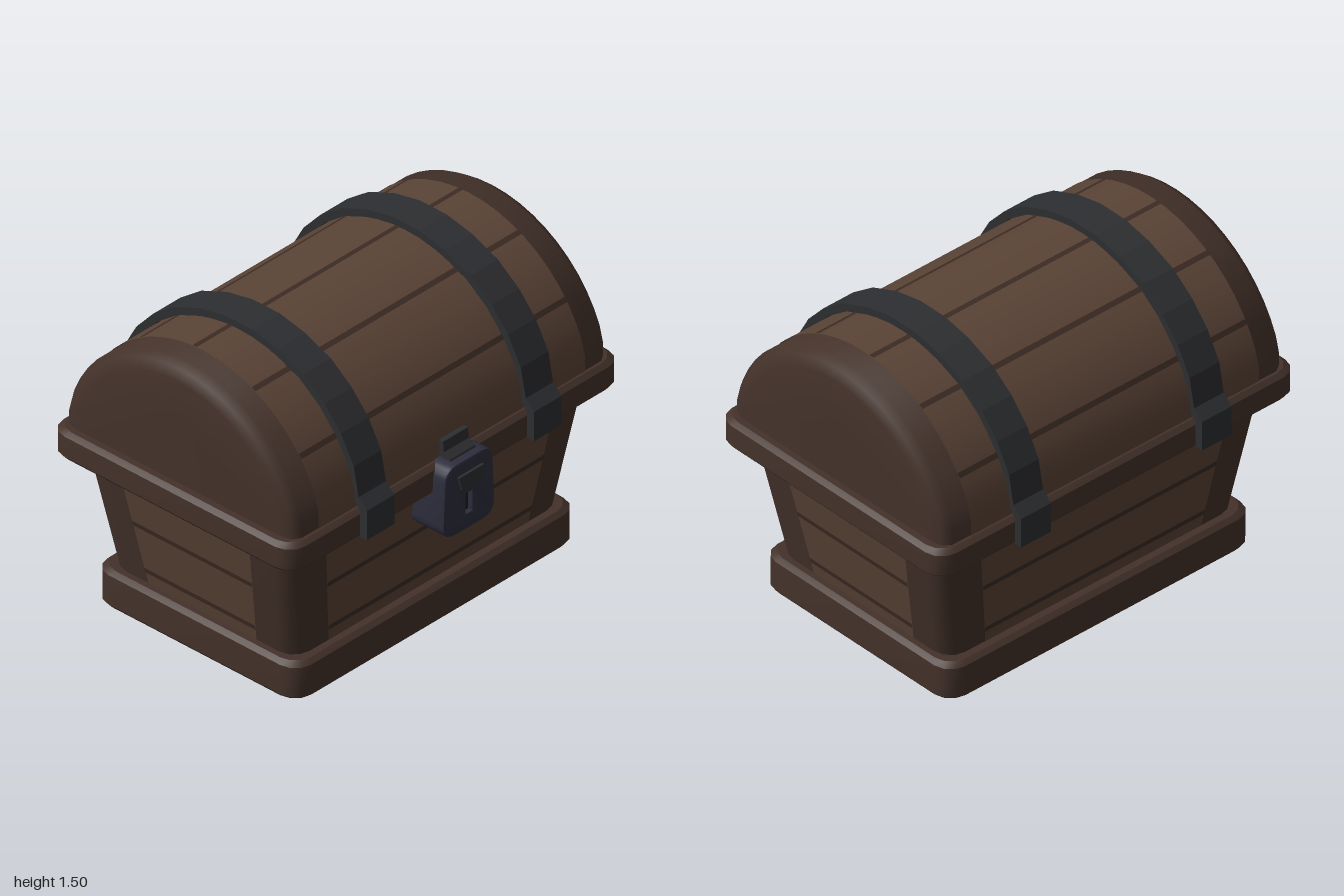
import * as THREE from 'three';
import { toCreasedNormals } from 'three/addons/utils/BufferGeometryUtils.js';

const mat = (color) => new THREE.MeshStandardMaterial({ color, side: THREE.DoubleSide });
const frameMat = mat(0x44322a), boardMat = mat(0x5a4336), grooveMat = mat(0x3c2b24);
const ironMat = mat(0x2d2e31), lockMat = mat(0x2e2e3e), darkMat = mat(0x1b1b24);
const CZ = -0.02; // depth centre of the wooden parts

function geometryFrom(points, crease) {
  const g = new THREE.BufferGeometry().setFromPoints(points);
  g.computeVertexNormals();
  return crease ? toCreasedNormals(g, crease) : g;
}

function add(parent, name, geometry, material) {
  const m = new THREE.Mesh(geometry, material);
  m.name = name;
  parent.add(m);
  return m;
}

// Skin closed rings of points, with a fan cap at each end
function loft(rings, crease) {
  const pts = [], n = rings[0].length;
  for (let k = 0; k < rings.length - 1; k++) {
    for (let i = 0; i < n; i++) {
      const j = (i + 1) % n, a = rings[k], b = rings[k + 1];
      pts.push(a[i], a[j], b[j], a[i], b[j], b[i]);
    }
  }
  for (const [ring, top] of [[rings[0], false], [rings[rings.length - 1], true]]) {
    const c = ring.reduce((s, p) => s.add(p), new THREE.Vector3()).divideScalar(n);
    for (let i = 0; i < n; i++) {
      const j = (i + 1) % n;
      pts.push(c, ring[top ? i : j], ring[top ? j : i]);
    }
  }
  return geometryFrom(pts, crease);
}

// Horizontal rounded rectangle
function roundedRing(hx, hz, y, r = 0.09) {
  const out = [], steps = 3;
  for (let c = 0; c < 4; c++) {
    const sx = c === 0 || c === 3 ? 1 : -1, sz = c < 2 ? -1 : 1;
    for (let i = 0; i <= steps; i++) {
      const a = (c + i / steps) * Math.PI / 2;
      out.push(new THREE.Vector3(sx * (hx - r) + r * Math.cos(a), y, CZ + sz * (hz - r) - r * Math.sin(a)));
    }
  }
  return out;
}

// Rounded slab with bevelled edges
const slab = (hx, hz, y0, y1) => loft([
  roundedRing(hx - 0.012, hz - 0.012, y0), roundedRing(hx, hz, y0 + 0.015),
  roundedRing(hx, hz, y1 - 0.02), roundedRing(hx - 0.02, hz - 0.02, y1),
], 0.6);

// Body half sizes and board half widths by height
const rise = (y) => (y - 0.18) / 0.57;
const halfX = (y) => 0.80 + 0.11 * rise(y);
const halfZ = (y) => 0.52 + 0.07 * rise(y);
const boardX = (y) => 0.60 + 0.09 * rise(y);
const boardZ = (y) => 0.305 + 0.06 * rise(y);

// Four-cornered strip lying on one of the body's walls
function wallStrip(wall, y0, y1, lift) {
  const s = wall < 2 ? 1 : -1;
  const corner = (u, y) => wall % 2 === 0
    ? new THREE.Vector3(s * u * boardX(y), y, CZ + s * (halfZ(y) + lift))
    : new THREE.Vector3(s * (halfX(y) + lift), y, CZ - s * u * boardZ(y));
  const a = corner(-1, y0), b = corner(1, y0), c = corner(1, y1), d = corner(-1, y1);
  return geometryFrom([a, b, c, a, c, d]);
}

// Point on the lid's arch: a from 0 (back) to PI (front)
const LID_R = 0.677, LID_Y = 0.793;
function archPoint(x, a, r) {
  const limit = r - LID_R + 0.652;
  const z = THREE.MathUtils.clamp(-r * Math.cos(a), -limit, limit);
  return new THREE.Vector3(x, LID_Y + r * Math.sin(a), CZ + z);
}

// Curved strip along the lid between two angles
function archStrip(hx, a0, a1, r, steps) {
  const pts = [];
  for (let i = 0; i < steps; i++) {
    const s = a0 + (a1 - a0) * i / steps, t = a0 + (a1 - a0) * (i + 1) / steps;
    const a = archPoint(-hx, s, r), b = archPoint(-hx, t, r);
    const c = archPoint(hx, t, r), d = archPoint(hx, s, r);
    pts.push(a, b, c, a, c, d);
  }
  return geometryFrom(pts, 0.6);
}

// Extrude a (z, y) outline across x, centred on x = 0
function acrossX(outline, width) {
  const shape = new THREE.Shape(outline.map(([z, y]) => new THREE.Vector2(z, y)));
  return new THREE.ExtrudeGeometry(shape, { depth: width, bevelEnabled: false })
    .rotateY(-Math.PI / 2).translate(width / 2, 0, 0);
}

function roundedShape(b, t, y0, y1, r) {
  const s = new THREE.Shape();
  s.moveTo(-b + r, y0);
  s.lineTo(b - r, y0);
  s.quadraticCurveTo(b, y0, b, y0 + r);
  s.lineTo(t, y1 - r);
  s.quadraticCurveTo(t, y1, t - r, y1);
  s.lineTo(-t + r, y1);
  s.quadraticCurveTo(-t, y1, -t, y1 - r);
  s.lineTo(-b, y0 + r);
  s.quadraticCurveTo(-b, y0, -b + r, y0);
  return s;
}

export function createModel() {
  const chest = new THREE.Group();
  chest.name = 'treasureChest';

  // Foot, tapered body and rim
  add(chest, 'foot', slab(0.85, 0.575, 0, 0.18), frameMat);
  add(chest, 'body', loft([roundedRing(0.80, 0.52, 0.17), roundedRing(0.91, 0.59, 0.76)], 0.6), frameMat);
  add(chest, 'rim', slab(1.0, 0.685, 0.755, 0.89), frameMat);

  // Boards and grooves on the four walls
  ['front', 'left', 'back', 'right'].forEach((side, w) => {
    add(chest, side + 'Boards', wallStrip(w, 0.175, 0.755, 0.002), boardMat);
    for (const y of [0.25, 0.495]) {
      add(chest, side + 'Groove', wallStrip(w, y - 0.012, y + 0.012, 0.004), grooveMat);
    }
  });

  // Arched lid with softened ends
  const start = Math.asin((0.88 - LID_Y) / LID_R), steps = 24;
  const ends = [[0.95, 0.08], [0.937, 0.025], [0.9, 0]];
  const sections = [...ends.map(([x, i]) => [-x, i]), ...ends.slice().reverse()];
  const lidRings = sections.map(([x, inset]) => Array.from({ length: steps + 1 }, (_, i) =>
    archPoint(x, start + (Math.PI - 2 * start) * i / steps, LID_R - inset)));
  for (const ring of lidRings) { // carry both feet of the arch down to the rim
    ring[0].y = ring[steps].y = 0.87;
  }
  add(chest, 'lid', loft(lidRings, 0.8), frameMat);
  add(chest, 'lidBoards', archStrip(0.8, start, Math.PI - start, LID_R + 0.003, 24), boardMat);
  for (const z of [-0.575, -0.345, -0.045, 0.285, 0.545]) {
    const a = Math.acos(-z / LID_R);
    add(chest, 'lidGroove', archStrip(0.8, a - 0.018, a + 0.018, LID_R + 0.005, 2), grooveMat);
  }

  // Iron straps, half outline mirrored front to back
  const outer = [[0.725, 0.76], [0.725, 0.905], [0.677, 0.95], [0.65, 1.09], [0.578, 1.22],
    [0.485, 1.325], [0.365, 1.415], [0.22, 1.475], [0.075, 1.505]];
  const inner = [[0.07, 1.47], [0.208, 1.441], [0.345, 1.385], [0.458, 1.3], [0.545, 1.2],
    [0.615, 1.08], [0.643, 0.937], [0.686, 0.888], [0.686, 0.76]];
  const flip = (list) => list.map(([z, y]) => [-z, y]).reverse();
  const outline = [...outer, ...flip(outer), ...flip(inner), ...inner].map(([z, y]) => [z + CZ, y]);
  for (const s of [1, -1]) {
    add(chest, s > 0 ? 'leftStrap' : 'rightStrap', acrossX(outline, 0.165), ironMat).position.x = s * 0.502;
  }

  // Lock case with a keyhole
  const lock = new THREE.Group();
  lock.name = 'lock';
  chest.add(lock);
  const face = roundedShape(0.143, 0.133, 0.562, 0.885, 0.06);
  face.holes.push(new THREE.Path([[-0.03, 0.615], [-0.03, 0.735], [0.03, 0.735], [0.03, 0.615]]
    .map(([x, y]) => new THREE.Vector2(x, y))));
  const caseGeo = new THREE.ExtrudeGeometry(face, {
    depth: 0.175, bevelThickness: 0.014, bevelSize: 0.012, bevelSegments: 2, curveSegments: 5,
  });
  add(lock, 'lockCase', toCreasedNormals(caseGeo, 0.7).translate(0, 0, 0.546), lockMat);
  add(lock, 'keyhole', new THREE.BoxGeometry(0.08, 0.15, 0.02).translate(0, 0.675, 0.70), darkMat);

  // Hasp bent from the lid over the rim, and its tongue on the lock face
  add(lock, 'hasp', acrossX([[0.60, 0.975], [0.655, 0.975], [0.66, 0.925], [0.695, 0.905],
    [0.71, 0.87], [0.60, 0.87]], 0.15), ironMat);
  const tongue = new THREE.Shape([[-0.055, 0.765], [0.055, 0.765], [0.075, 0.835], [-0.075, 0.835]]
    .map(([x, y]) => new THREE.Vector2(x, y)));
  add(lock, 'haspTongue', new THREE.ExtrudeGeometry(tongue, { depth: 0.03, bevelEnabled: false })
    .translate(0, 0, 0.717), ironMat);

  return chest;
}
